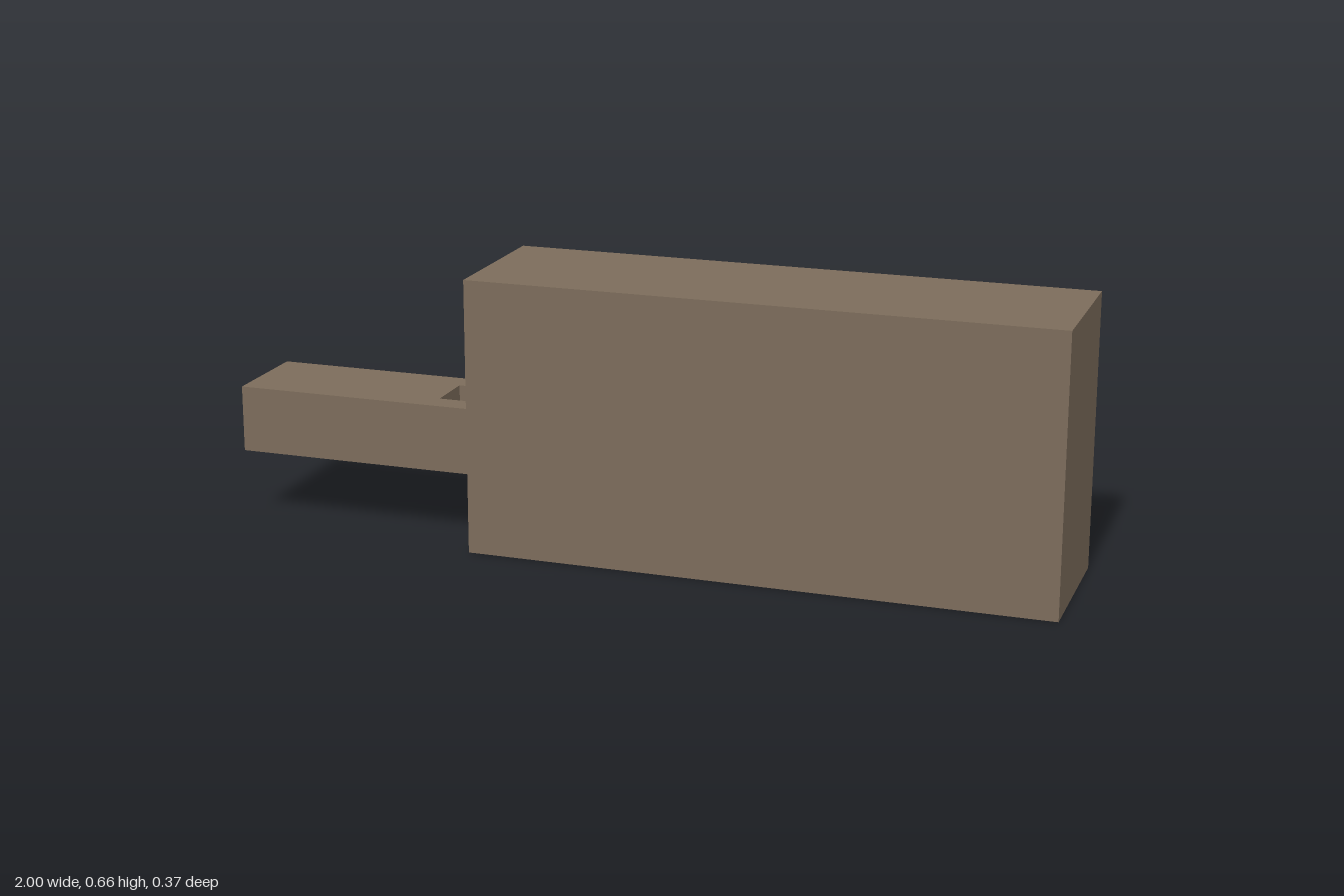
import * as THREE from 'three';

const END = -0.39;      // end face of the head, where the handle leaves it
const SLOT = -0.27;     // inner end of the slot under the handle
const HALF_HEAD = 0.184;
const HALF_HANDLE = 0.12;

// Extrude a plan outline of [x, z] points from y0 up to y1
function slab(name, outline, y0, y1, material, hole) {
  const toPoints = (list) => list.map(([x, z]) => new THREE.Vector2(x, -z));
  const shape = new THREE.Shape(toPoints(outline));
  if (hole) shape.holes.push(new THREE.Path(toPoints(hole)));
  const geometry = new THREE.ExtrudeGeometry(shape, { depth: y1 - y0, bevelEnabled: false });
  geometry.rotateX(-Math.PI / 2);
  geometry.translate(0, y0, 0);
  const mesh = new THREE.Mesh(geometry, material);
  mesh.name = name;
  return mesh;
}

const rect = (x0, x1, halfZ) => [[x0, halfZ], [x1, halfZ], [x1, -halfZ], [x0, -halfZ]];

export function createModel() {
  const model = new THREE.Group();
  model.name = 'blockWithHandle';
  const wood = new THREE.MeshStandardMaterial({ color: 0x7c6c5b });
  wood.name = 'brown wood';

  // Lower head: U-shaped plan leaves a slot below the handle
  const lowerOutline = [
    [END, HALF_HEAD], [1, HALF_HEAD], [1, -HALF_HEAD], [END, -HALF_HEAD],
    [END, -HALF_HANDLE], [SLOT, -HALF_HANDLE], [SLOT, HALF_HANDLE], [END, HALF_HANDLE],
  ];
  model.add(slab('lowerHead', lowerOutline, 0, 0.17, wood));

  // Upper head: solid block
  model.add(slab('upperHead', rect(END, 1, HALF_HEAD), 0.17, 0.656, wood));

  // Handle with a square hole right through it
  model.add(slab('handle', rect(-1, END, HALF_HANDLE), 0.17, 0.33, wood, rect(-0.51, -0.41, 0.06)));

  return model;
}
